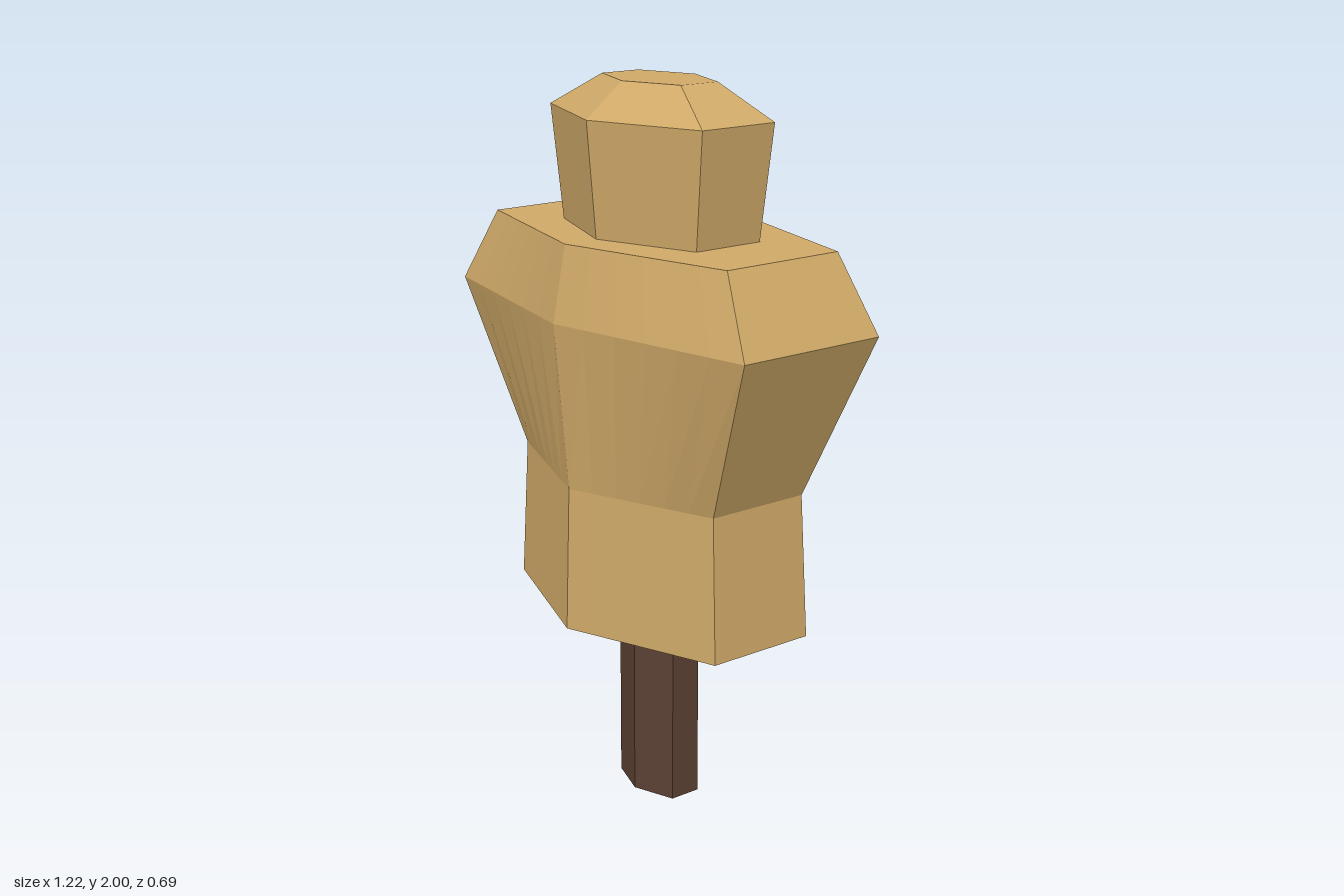
import * as THREE from 'three';

// Six-cornered ring: half width x, half depth at the ends, half depth at the middle ridge.
// Each edge is split so that twisted panels stay evenly curved.
const SPLIT = 6;
function ring([y, x, zEnd, zMid]) {
  const corners = [[x, zEnd], [x, -zEnd], [0, -zMid], [-x, -zEnd], [-x, zEnd], [0, zMid]];
  const points = [];
  corners.forEach(([ax, az], i) => {
    const [bx, bz] = corners[(i + 1) % 6];
    for (let s = 0; s < SPLIT; s++) {
      const t = s / SPLIT;
      points.push([ax + (bx - ax) * t, y, az + (bz - az) * t]);
    }
  });
  return points;
}

// Skin a stack of rings from bottom to top and close both ends.
function loft(name, sections, material) {
  const rings = sections.map(ring);
  const n = rings[0].length;
  const positions = [];
  const tri = (a, b, c) => positions.push(...a, ...b, ...c);
  for (let r = 0; r < rings.length - 1; r++) {
    for (let i = 0; i < n; i++) {
      const j = (i + 1) % n;
      tri(rings[r][i], rings[r][j], rings[r + 1][j]);
      tri(rings[r][i], rings[r + 1][j], rings[r + 1][i]);
    }
  }
  const first = rings[0], last = rings[rings.length - 1];
  for (let i = 0; i < n; i++) {
    const j = (i + 1) % n;
    tri([0, first[0][1], 0], first[j], first[i]);
    tri([0, last[0][1], 0], last[i], last[j]);
  }
  const geometry = new THREE.BufferGeometry();
  geometry.setAttribute('position', new THREE.Float32BufferAttribute(positions, 3));
  geometry.computeVertexNormals();
  const mesh = new THREE.Mesh(geometry, material);
  mesh.name = name;
  return mesh;
}

export function createModel() {
  const straw = new THREE.MeshStandardMaterial({ color: 0xcfa968, flatShading: true });
  const wood = new THREE.MeshStandardMaterial({ color: 0x5c4033, flatShading: true });

  const group = new THREE.Group();
  group.name = 'trainingDummy';
  group.add(
    // Post the dummy stands on
    loft('post', [[0, 0.12, 0.045, 0.087], [0.515, 0.12, 0.045, 0.087]], wood),
    // Hips, waist, chest and shoulders
    loft('torso', [
      [0.512, 0.12, 0.045, 0.087],
      [0.55, 0.437, 0.158, 0.315],
      [0.945, 0.415, 0.15, 0.302],
      [1.4, 0.61, 0.22, 0.343],
      [1.603, 0.495, 0.18, 0.304],
    ], straw),
    // Head with bevelled crown
    loft('head', [
      [1.603, 0.285, 0.104, 0.205],
      [1.91, 0.321, 0.117, 0.232],
      [2, 0.165, 0.06, 0.12],
    ], straw),
  );
  return group;
}
